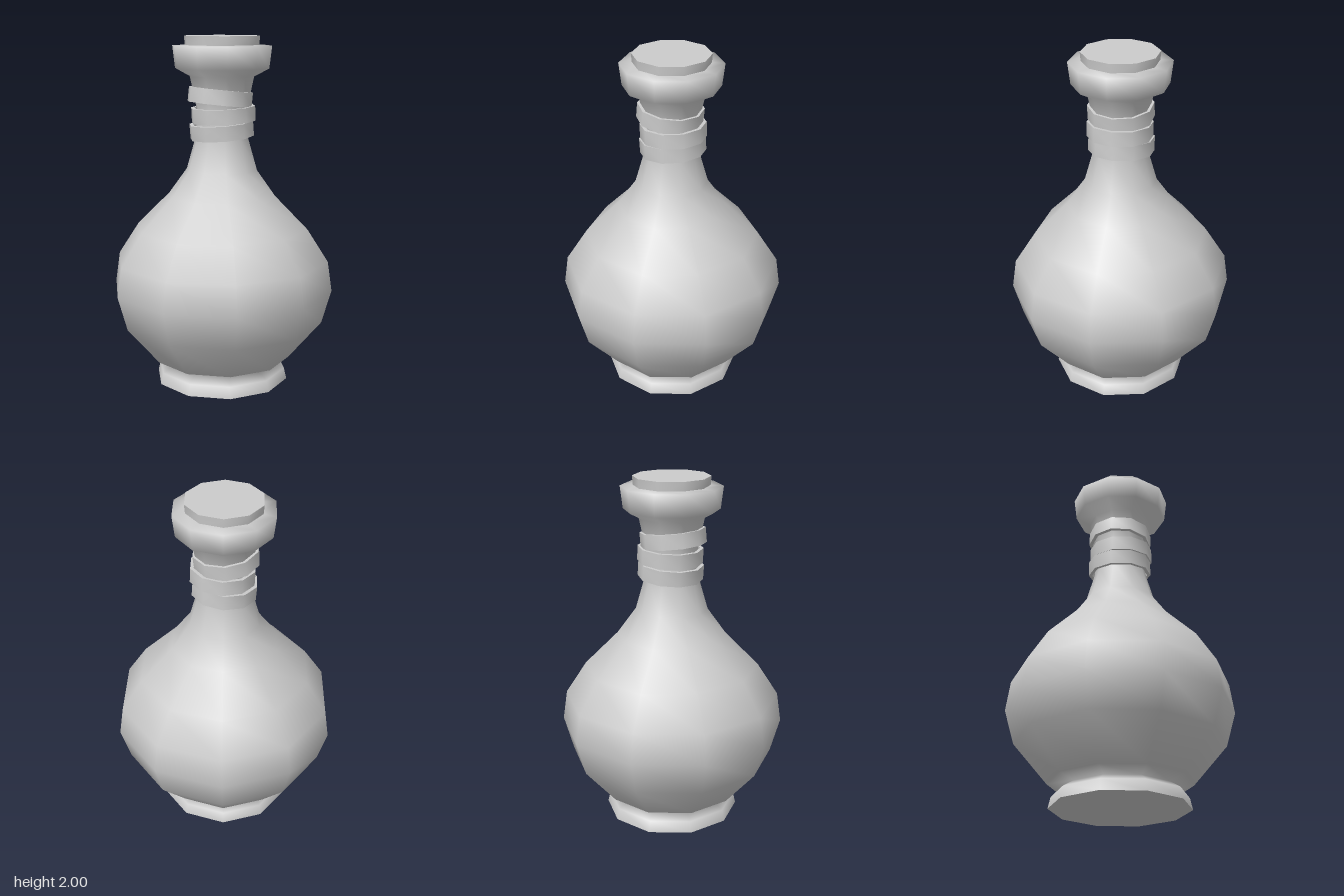
import * as THREE from 'three';
import { toCreasedNormals } from 'three/addons/utils/BufferGeometryUtils.js';

const SIDES = 10;
const material = new THREE.MeshStandardMaterial({ color: 0xcccccc });

function add(group, name, geometry) {
  const mesh = new THREE.Mesh(geometry, material);
  mesh.name = name;
  group.add(mesh);
  return mesh;
}

// Ten-sided turned shape with a corner on the x axis
function turned(points) {
  const profile = points.map(([r, y]) => new THREE.Vector2(r, y));
  return new THREE.LatheGeometry(profile, SIDES, Math.PI / 2);
}

export function createModel() {
  const group = new THREE.Group();

  // Foot, belly, neck and flared lip in one smooth profile
  add(group, 'bottleBody', turned([
    [0.39, 0], [0.375, 0.065], [0.31, 0.105], [0.4, 0.135],
    [0.59, 0.36], [0.645, 0.555], [0.62, 0.725], [0.5, 0.91],
    [0.31, 1.1], [0.205, 1.245], [0.152, 1.43], [0.147, 1.6],
    [0.185, 1.775], [0.27, 1.82], [0.285, 1.945], [0.2, 1.95],
  ]));

  // Flat underside
  const base = add(group, 'base', new THREE.CircleGeometry(0.39, SIDES));
  base.rotation.x = Math.PI / 2;

  // Stopper
  const stopperGeometry = new THREE.CylinderGeometry(0.217, 0.21, 0.08, SIDES, 1, false, Math.PI / 2);
  const stopper = add(group, 'stopper', toCreasedNormals(stopperGeometry, Math.PI / 4));
  stopper.position.y = 1.96;

  // Loosely tilted bands wrapped round the neck
  const h = 0.042;
  const bandGeometry = toCreasedNormals(
    turned([[0.165, -h], [0.185, -h], [0.185, h], [0.165, h], [0.165, -h]]), Math.PI / 4);
  const bands = [
    { x: 0.002, y: 1.472, z: -0.006, tilt: 0.08 },
    { x: 0.01, y: 1.562, z: 0, tilt: 0.05 },
    { x: -0.01, y: 1.66, z: 0, tilt: -0.11 },
  ];
  bands.forEach(({ x, y, z, tilt }, i) => {
    const band = add(group, `neckBand${i + 1}`, bandGeometry);
    band.position.set(x, y, z);
    band.rotation.z = tilt;
  });

  return group;
}
